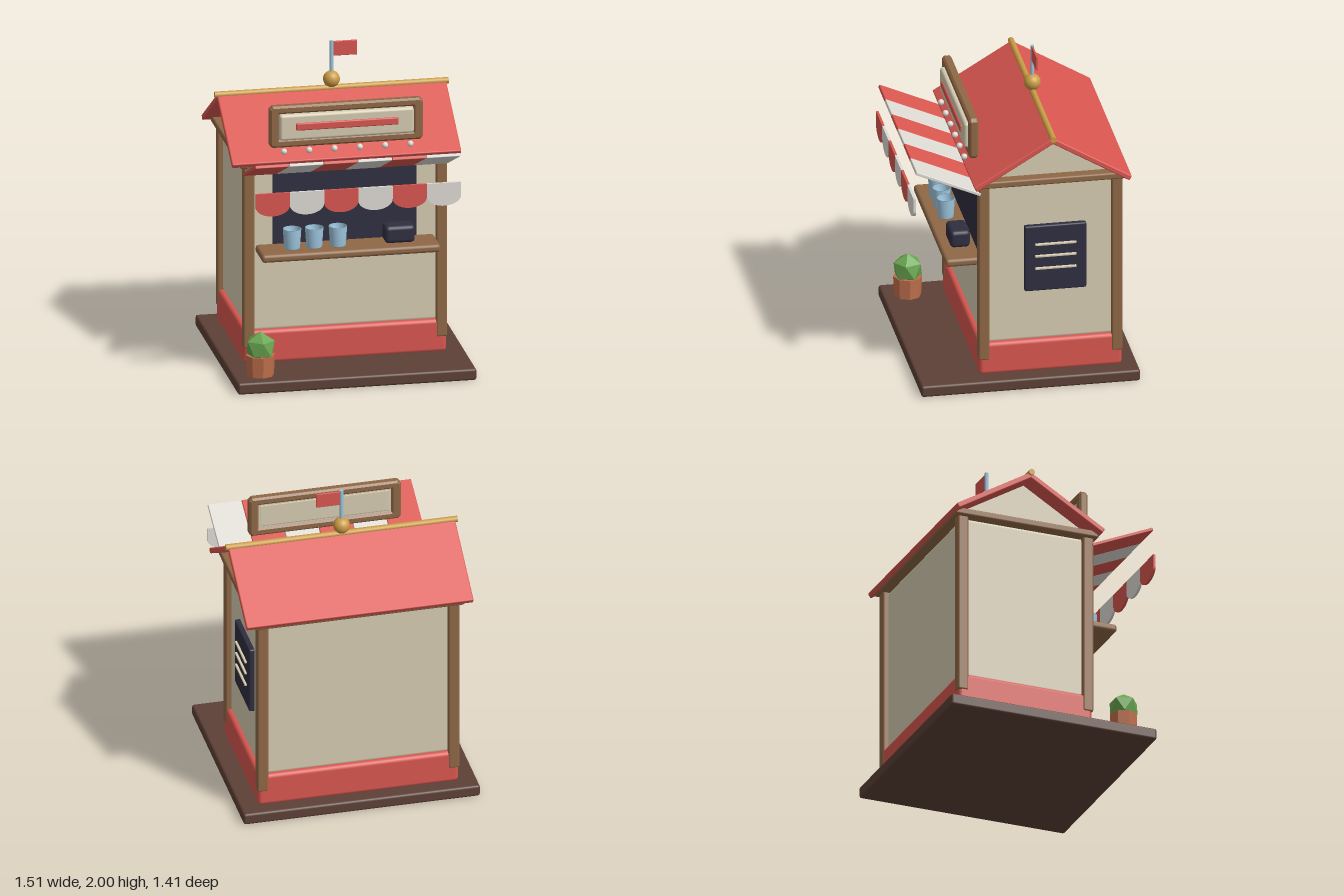
import * as THREE from 'three';
import { RoundedBoxGeometry } from 'three/addons/geometries/RoundedBoxGeometry.js';

const mat = (name, color, flatShading = false) => {
  const m = new THREE.MeshStandardMaterial({ color, flatShading });
  m.name = name;
  return m;
};

export function createModel() {
  const model = new THREE.Group();
  model.name = 'marketKiosk';

  const red = mat('red', 0xd9564f);
  const cream = mat('cream', 0xd6ccb2);
  const wood = mat('wood', 0x8f6846);
  const darkWood = mat('darkWood', 0x5c4035);
  const navy = mat('navy', 0x2f2e40);
  const white = mat('white', 0xdedbd4);
  const gold = mat('gold', 0xcb9c44);
  const blue = mat('glassBlue', 0x9cc5dd);
  const green = mat('leafGreen', 0x6aa550, true);
  const clay = mat('terracotta', 0xbf6f4c, true);

  const add = (name, geometry, material, x = 0, y = 0, z = 0, parent = model) => {
    const mesh = new THREE.Mesh(geometry, material);
    mesh.name = name;
    mesh.position.set(x, y, z);
    parent.add(mesh);
    return mesh;
  };
  // box with softened edges, given by its size and centre
  const box = (name, m, w, h, d, x, y, z, r = 0.008) =>
    add(name, new RoundedBoxGeometry(w, h, d, 2, Math.min(r, Math.min(w, h, d) * 0.45)), m, x, y, z);

  const cz = -0.16; // centre of the hut in z

  // platform, plinth and walls
  box('platform', darkWood, 1.51, 0.075, 1.38, 0, 0.0375, -0.015, 0.015);
  box('plinth', red, 1.28, 0.215, 0.9, 0, 0.175, cz, 0.025);
  box('walls', cream, 1.22, 1.09, 0.84, 0, 0.815, cz, 0.025);

  // corner posts
  for (const sx of [-1, 1]) {
    for (const sz of [-1, 1]) {
      box('cornerPost', wood, 0.07, 1.19, 0.07, sx * 0.61, 0.765, cz + sz * 0.42, 0.012);
    }
  }

  // eave beam and gable block
  box('eaveBeam', wood, 1.34, 0.045, 0.96, 0, 1.378, cz, 0.012);
  const tri = new THREE.Shape();
  tri.moveTo(-0.44, 1.395);
  tri.lineTo(0.44, 1.395);
  tri.lineTo(0, 1.66);
  const gable = new THREE.ExtrudeGeometry(tri, { depth: 1.2, bevelEnabled: false });
  gable.translate(0, 0, -0.6).rotateY(Math.PI / 2);
  add('gable', gable, cream, 0, 0, cz);

  // two roof slopes
  const pitch = Math.atan2(0.295, 0.49);
  for (const s of [-1, 1]) {
    const slope = box('roofSlope', red, 1.45, 0.035, 0.58, 0, 1.531, cz + s * 0.242, 0.008);
    slope.rotation.x = s * pitch;
  }

  // ridge, finial, pole and flag
  const ridge = new THREE.CylinderGeometry(0.02, 0.02, 1.48, 10).rotateZ(Math.PI / 2);
  add('ridgePole', ridge, gold, 0, 1.692, cz);
  add('finial', new THREE.SphereGeometry(0.053, 20, 14), gold, 0, 1.75, cz);
  add('flagPole', new THREE.CylinderGeometry(0.012, 0.012, 0.22, 10), blue, 0, 1.89, cz);
  box('flag', red, 0.152, 0.095, 0.012, 0.086, 1.948, cz, 0.003);

  // sign: frame ring, panel and bar
  const rect = (path, w, h, c) => {
    path.moveTo(-w + c, -h);
    path.lineTo(w - c, -h);
    path.lineTo(w, -h + c);
    path.lineTo(w, h - c);
    path.lineTo(w - c, h);
    path.lineTo(-w + c, h);
    path.lineTo(-w, h - c);
    path.lineTo(-w, -h + c);
    path.closePath();
    return path;
  };
  const ring = rect(new THREE.Shape(), 0.473, 0.123, 0.012);
  ring.holes.push(rect(new THREE.Path(), 0.435, 0.095, 0.005));
  const frame = new THREE.ExtrudeGeometry(ring, {
    depth: 0.034, bevelThickness: 0.012, bevelSize: 0.012, bevelSegments: 1,
  });
  add('signFrame', frame, wood, 0, 1.617, 0.278);
  box('signPanel', cream, 0.85, 0.168, 0.07, 0, 1.617, 0.312, 0.018);
  box('signBacking', cream, 0.87, 0.19, 0.03, 0, 1.617, 0.294, 0.004);
  box('signBar', red, 0.65, 0.048, 0.02, 0, 1.622, 0.347, 0.008);

  // row of lamps under the sign
  for (let i = 0; i < 6; i++) {
    add('lamp', new THREE.SphereGeometry(0.02, 10, 8), white, -0.4 + i * 0.16, 1.465, 0.343);
  }

  // striped awning with scalloped valance
  const w = 1.3 / 6;
  const scallop = new THREE.Shape();
  scallop.moveTo(-w / 2, 1.318);
  scallop.lineTo(-w / 2, 1.235);
  scallop.absellipse(0, 1.235, w / 2, 0.066, Math.PI, Math.PI * 2, false);
  scallop.lineTo(w / 2, 1.318);
  const flap = new THREE.ExtrudeGeometry(scallop, { depth: 0.016, bevelEnabled: false, curveSegments: 14 });
  for (let i = 0; i < 6; i++) {
    const m = i % 2 ? white : red;
    const x = -0.65 + w * (i + 0.5);
    const panel = box('awningPanel', m, w - 0.002, 0.02, 0.446, x, 1.401, 0.487, 0.004);
    panel.rotation.x = -Math.atan2(0.18, 0.405);
    add('awningScallop', flap, m, x, 0, 0.692);
  }

  // serving window and counter
  box('servingWindow', navy, 0.91, 0.5, 0.012, 0, 1.08, 0.262, 0.003);
  box('counter', wood, 1.13, 0.052, 0.235, 0, 0.813, 0.37, 0.02);

  // cups: open tumblers
  const cupProfile = [[0, 0], [0.046, 0], [0.05, 0.006], [0.058, 0.128], [0.052, 0.128], [0.046, 0.02], [0, 0.02]]
    .map(([r, y]) => new THREE.Vector2(r, y));
  for (const x of [-0.355, -0.215, -0.065]) {
    add('cup', new THREE.LatheGeometry(cupProfile, 20), blue, x, 0.84, 0.375);
  }
  box('cashBox', navy, 0.19, 0.112, 0.125, 0.32, 0.9, 0.368, 0.025);

  // menu board on the left wall
  box('menuBoard', navy, 0.04, 0.445, 0.39, 0.624, 0.842, -0.19, 0.01);
  for (const y of [0.94, 0.86, 0.776]) {
    box('menuLine', cream, 0.016, 0.014, 0.26, 0.65, y, -0.19, 0.003);
  }

  // potted shrub
  add('pot', new THREE.CylinderGeometry(0.092, 0.085, 0.132, 8), clay, -0.583, 0.141, 0.52);
  const shrub = new THREE.IcosahedronGeometry(0.1, 0).rotateX(-1.017);
  add('shrub', shrub, green, -0.583, 0.256, 0.52);

  return model;
}
